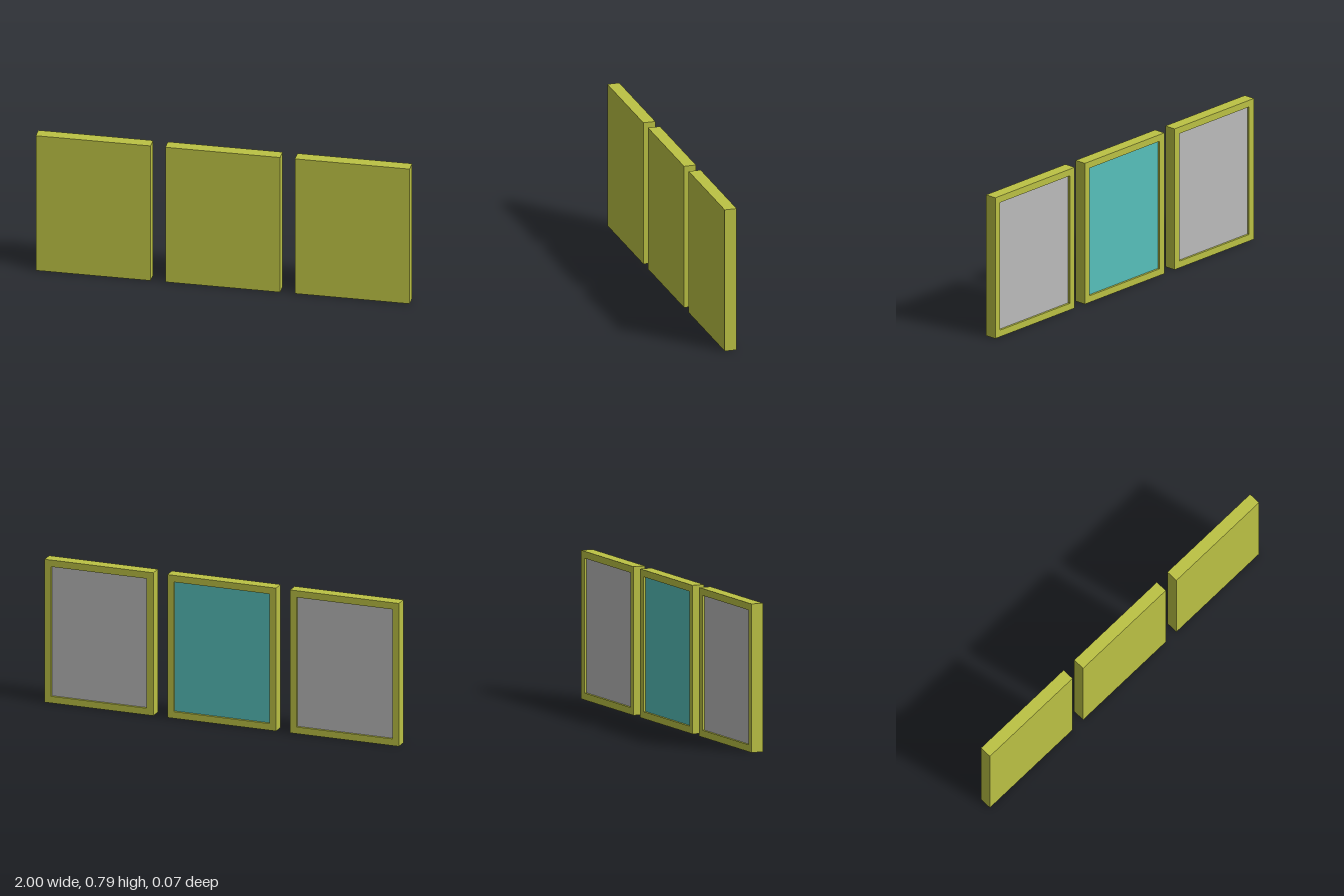
import * as THREE from 'three';

const W = 0.614, H = 0.79, D = 0.066;   // outer size of one frame
const BORDER = 0.037, RECESS = 0.012;   // rim width, depth of the back recess
const SPACING = 0.693;

const material = (name, color) => {
  const m = new THREE.MeshStandardMaterial({ color });
  m.name = name;
  return m;
};

function addMesh(parent, name, geometry, mat, z) {
  const mesh = new THREE.Mesh(geometry, mat);
  mesh.name = name;
  mesh.position.z = z;
  parent.add(mesh);
}

// Rectangle outline centred on the origin
const rectangle = (Type, w, h) => new Type([
  new THREE.Vector2(-w / 2, -h / 2), new THREE.Vector2(w / 2, -h / 2),
  new THREE.Vector2(w / 2, h / 2), new THREE.Vector2(-w / 2, h / 2),
]);

export function createModel() {
  const olive = material('olive frame', 0xbcc244);
  const grey = material('grey panel', 0xbbbbbb);
  const teal = material('teal panel', 0x57c0bb);

  const innerW = W - 2 * BORDER, innerH = H - 2 * BORDER;

  // One-piece frame: rim with an opening
  const outline = rectangle(THREE.Shape, W, H);
  outline.holes.push(rectangle(THREE.Path, innerW, innerH));
  const rimDepth = RECESS + 0.006;
  const rimGeometry = new THREE.ExtrudeGeometry(outline, { depth: rimDepth, bevelEnabled: false });

  // Solid front board and thin inset panel
  const boardDepth = D - rimDepth;
  const boardGeometry = new THREE.BoxGeometry(W, H, boardDepth);
  const panelGeometry = new THREE.BoxGeometry(innerW, innerH, 0.006);

  const model = new THREE.Group();
  model.name = 'framedPanels';
  ['right', 'middle', 'left'].forEach((side, i) => {
    const frame = new THREE.Group();
    frame.name = `${side}Frame`;
    frame.position.set((i - 1) * SPACING, H / 2, 0);
    addMesh(frame, 'frontBoard', boardGeometry, olive, (D - boardDepth) / 2);
    addMesh(frame, 'backRim', rimGeometry, olive, -D / 2);
    addMesh(frame, 'insetPanel', panelGeometry, i === 1 ? teal : grey, -D / 2 + RECESS + 0.003);
    model.add(frame);
  });
  return model;
}
